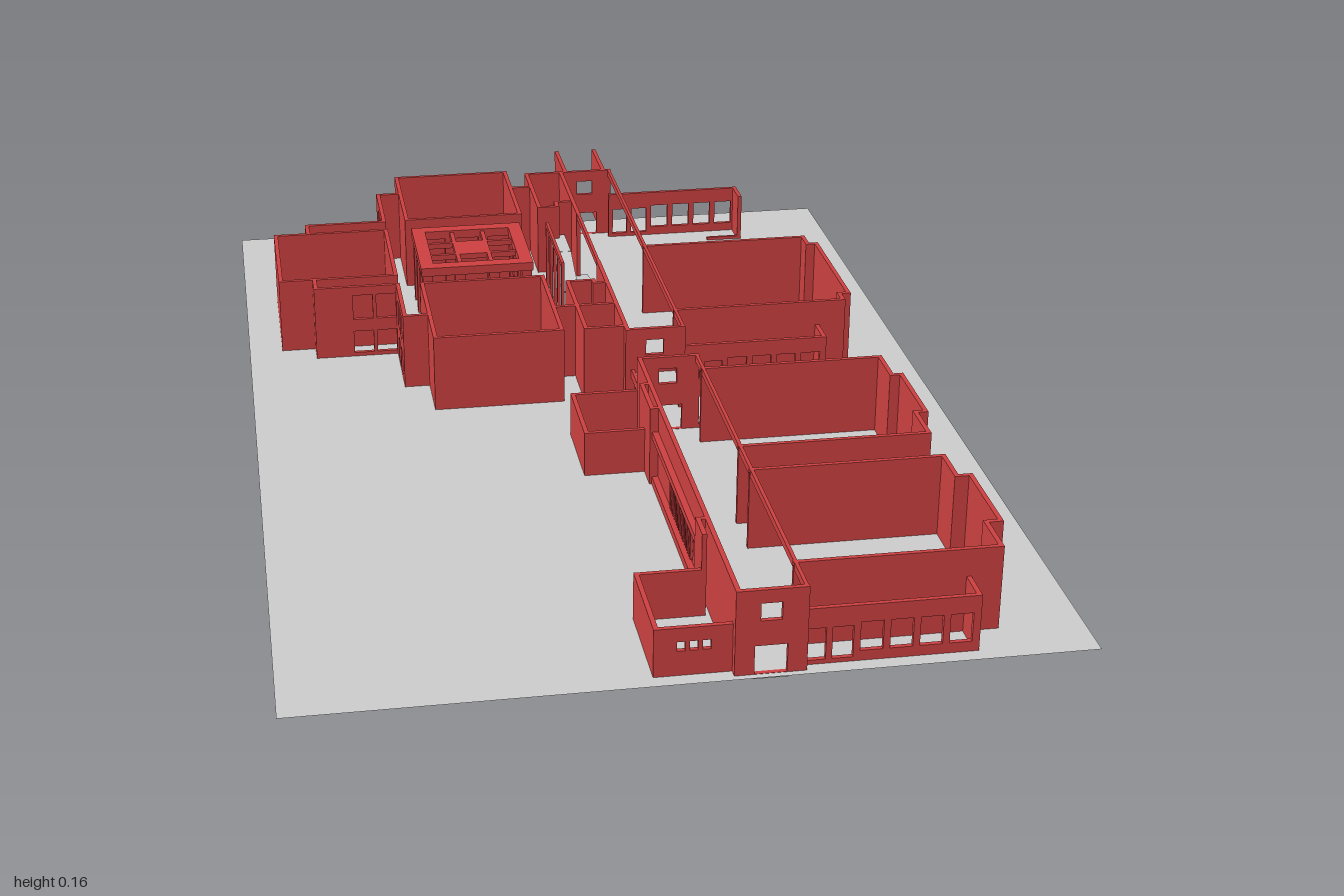
import * as THREE from 'three';

const RED = new THREE.MeshStandardMaterial({ color: 0xcc4040, side: THREE.DoubleSide });
const GREY = new THREE.MeshStandardMaterial({ color: 0xcccccc, side: THREE.DoubleSide });
const BASE = 0.007, TOP = 0.153, LOW = 0.105, BOX = 0.09, T = 0.008;

export function createModel() {
  const model = new THREE.Group();

  // box given by its two extreme corners
  function block(name, x1, x2, y1, y2, z1, z2, material = RED) {
    const mesh = new THREE.Mesh(new THREE.BoxGeometry(x2 - x1, y2 - y1, z2 - z1), material);
    mesh.position.set((x1 + x2) / 2, (y1 + y2) / 2, (z1 + z2) / 2);
    mesh.name = name;
    model.add(mesh);
    return mesh;
  }

  // upright wall between two plan points; holes are [u1, u2, y1, y2], u measured from the first point
  function wall(name, [x1, z1], [x2, z2], top = TOP, holes = []) {
    const len = Math.hypot(x2 - x1, z2 - z1), e = T / 2;
    const shape = new THREE.Shape([[-e, BASE], [len + e, BASE], [len + e, top], [-e, top]]
      .map(([u, y]) => new THREE.Vector2(u, y)));
    for (const [a, b, c, d] of holes) {
      shape.holes.push(new THREE.Path([[a, c], [a, d], [b, d], [b, c]]
        .map(([u, y]) => new THREE.Vector2(u, y))));
    }
    const geo = new THREE.ExtrudeGeometry(shape, { depth: T, bevelEnabled: false });
    geo.translate(0, 0, -e);
    const mesh = new THREE.Mesh(geo, RED);
    mesh.position.set(x1, 0, z1);
    mesh.rotation.y = -Math.atan2(z2 - z1, x2 - x1);
    mesh.name = name;
    model.add(mesh);
  }

  // chain of solid walls
  function path(name, points, top = TOP) {
    for (let i = 1; i < points.length; i++) wall(name, points[i - 1], points[i], top);
  }

  // ground and door sill
  const ground = new THREE.Mesh(new THREE.PlaneGeometry(1.265, 1.94), GREY);
  ground.rotation.x = -Math.PI / 2;
  ground.position.set(0, BASE + 0.0005, 0.03);
  ground.name = 'ground';
  model.add(ground);
  block('doorSill', 0.085, 0.14, 0, 0.004, 0.98, 0.99, GREY);

  // corridor: end walls with doorway and window, solid west side, open east side under a beam
  for (const z of [-0.865, -0.002, 0.13, 0.985]) {
    wall('corridorEndWall', [0.06, z], [0.165, z], TOP,
      [[0.027, 0.078, BASE + 0.001, 0.057], [0.035, 0.068, 0.1, 0.13]]);
  }
  path('corridorWall', [[0.06, -0.865], [0.06, -0.61]]);
  path('corridorWall', [[0.06, -0.34], [0.06, 0]]);
  block('corridorBeam', 0.162, 0.168, 0.14, TOP, -0.865, 0);
  block('corridorBeam', 0.162, 0.168, 0.14, TOP, 0.13, 0.985);
  block('corridorBeam', 0.057, 0.063, 0.14, TOP, -0.61, -0.34);
  for (const x of [0.07, 0.153]) wall('northScreen', [x, -0.996], [x, -0.865]);

  // long west wall with louvred opening and projecting band
  wall('longWall', [0.06, 0.13], [0.06, 0.985], TOP, [[0.33, 0.53, 0.025, 0.09]]);
  block('windowHood', 0.045, 0.06, 0.095, 0.108, 0.34, 0.75);
  block('windowLedge', 0.045, 0.06, BASE, 0.022, 0.34, 0.75);
  for (let i = 1; i < 20; i++) {
    block('louvre', 0.053, 0.064, 0.025, 0.09, 0.459 + i * 0.01, 0.462 + i * 0.01);
  }
  for (let i = 1; i < 4; i++) block('louvreRail', 0.057, 0.063, 0.024 + i * 0.016, 0.027 + i * 0.016, 0.46, 0.66);
  path('cornerPier', [[0.06, 0.24], [0.045, 0.24], [0.045, 0.34], [0.06, 0.34]]);
  path('cornerPier', [[0.06, 0.75], [0.045, 0.75], [0.045, 0.8]]);

  // low service boxes on the west side
  path('serviceBox', [[0.06, 0.13], [-0.062, 0.13], [-0.062, 0.29], [0.045, 0.29]], BOX);
  path('serviceBox', [[0.045, 0.8], [-0.062, 0.8], [-0.062, 0.97]], BOX);
  wall('serviceBoxFront', [-0.062, 0.97], [0.06, 0.97], BOX,
    [0.032, 0.052, 0.072].map((u) => [u, u + 0.013, 0.05, 0.066]));

  // east classrooms: stepped bay on the outside, open to the corridor
  for (const [z1, b1, b2, z2, x] of [
    [-0.41, -0.37, -0.11, -0.08, 0.508], [0.19, 0.27, 0.425, 0.507, 0.508], [0.595, 0.67, 0.83, 0.91, 0.514]]) {
    path('classroomWall', [[0.165, z1], [0.49, z1], [0.49, b1], [x, b1], [x, b2], [0.49, b2], [0.49, z2], [0.165, z2]]);
  }

  // low porches with a row of windows
  const openings = [[0.005, 0.036, 0.015, 0.07], [0.046, 0.079, 0.015, 0.07]];
  for (let i = 0; i < 4; i++) openings.push([0.09 + i * 0.047, 0.126 + i * 0.047, 0.025, 0.075]);
  for (const [z, inner] of [[-0.84, -0.785], [-0.02, -0.08], [0.13, 0.19], [0.97, 0.91]]) {
    wall('porchWall', [0.165, z], [0.44, z], LOW, openings);
    wall('porchEnd', [0.44, z], [0.44, inner], LOW);
  }
  wall('porchLink', [0.44, 0.507], [0.44, 0.595], LOW);
  wall('porchEnd', [0.44, -0.47], [0.44, -0.41], 0.03);
  for (const z of [-0.785, -0.47]) block('curb', 0.37, 0.44, BASE, 0.014, z - 0.003, z + 0.003);

  // west rooms around the courtyard
  path('northRoom', [[-0.295, -0.885], [-0.06, -0.885], [-0.06, -0.63], [-0.295, -0.63], [-0.295, -0.885]]);
  path('southRoom', [[-0.295, -0.285], [-0.06, -0.285], [-0.06, -0.02], [-0.295, -0.02], [-0.295, -0.285]]);
  path('westRoom', [[-0.565, -0.58], [-0.342, -0.58], [-0.342, -0.335], [-0.565, -0.335], [-0.565, -0.58]]);

  // windowed links between the rooms, mirrored north and south
  const panes = (start) => [0, 1].flatMap((i) => {
    const u = start + i * 0.045;
    return [[u, u + 0.038, 0.015, 0.06], [u, u + 0.038, 0.085, 0.135]];
  });
  for (const s of [-1, 1]) {
    const z = (d) => -0.458 + s * d;
    path('roomLink', [[-0.295, z(0.328)], [-0.342, z(0.328)]]);
    wall('windowWall', [-0.342, z(0.328)], [-0.342, z(0.17)], TOP, panes(0.035));
    wall('windowWall', [-0.5, z(0.17)], [-0.342, z(0.17)], TOP, panes(0.07));
    path('roomLink', [[-0.5, z(0.17)], [-0.5, z(0.123)]]);
    path('roomLink', [[-0.06, z(0.328)], [-0.015, z(0.328)]]);
  }
  path('northCloset', [[0.06, -0.865], [-0.015, -0.865], [-0.015, -0.66], [0.023, -0.66], [0.023, -0.685], [0.06, -0.685]]);
  path('southCloset', [[0.06, -0.02], [-0.015, -0.02], [-0.015, -0.25], [0.035, -0.25], [0.035, -0.235], [0.06, -0.235]]);
  path('southClosetDivider', [[-0.015, -0.13], [0.06, -0.13]]);

  // courtyard pavilion: central pier, ring of columns, frame and cross beams
  const cx = -0.18, cz = -0.457;
  block('centralPier', cx - 0.028, cx + 0.028, BASE, TOP, cz - 0.028, cz + 0.028);
  const spots = [-0.098, -0.034, 0.034, 0.098];
  spots.forEach((a, i) => spots.forEach((b, j) => {
    if (i % 3 && j % 3) return;
    block('column', cx + a - 0.01, cx + a + 0.01, BASE, 0.14, cz + b - 0.01, cz + b + 0.01);
  }));
  for (const s of [-1, 1]) {
    block('ringBeam', cx - 0.11, cx + 0.11, 0.14, 0.157, cz + s * 0.098 - 0.013, cz + s * 0.098 + 0.013);
    block('ringBeam', cx + s * 0.098 - 0.013, cx + s * 0.098 + 0.013, 0.14, 0.157, cz - 0.11, cz + 0.11);
    block('crossBeam', cx - 0.1, cx + 0.1, 0.142, TOP, cz + s * 0.031 - 0.004, cz + s * 0.031 + 0.004);
    block('crossBeam', cx + s * 0.031 - 0.004, cx + s * 0.031 + 0.004, 0.142, TOP, cz - 0.1, cz + 0.1);
  }

  // slender screen between courtyard and corridor
  block('screenBeam', -0.014, -0.008, 0.143, TOP, -0.57, -0.345);
  for (let i = 0; i < 5; i++) {
    const z = -0.567 + i * 0.0545;
    block('screenPost', -0.014, -0.008, BASE, 0.143, z - 0.003, z + 0.003);
  }

  // two-flight ramped stair with landing
  function flight(x1, x2, z1, y1, z2, y2) {
    const mesh = block('stairFlight', x1, x2, 0, 0.004, 0, Math.hypot(z2 - z1, y2 - y1), GREY);
    mesh.position.set((x1 + x2) / 2, (y1 + y2) / 2, (z1 + z2) / 2);
    mesh.rotation.x = -Math.atan2(y2 - y1, z2 - z1);
  }
  flight(0.045, 0.08, -0.62, 0.01, -0.47, 0.037);
  flight(0.005, 0.04, -0.58, 0.08, -0.47, 0.037);
  block('stairLanding', 0.005, 0.04, 0.078, 0.082, -0.675, -0.58, GREY);

  // bridge between the two blocks
  block('bridgeDeck', 0.073, 0.15, 0.058, 0.064, 0, 0.13, GREY);
  for (const x of [0.07, 0.153]) {
    block('bridgeBeam', x - 0.003, x + 0.003, 0.055, 0.072, 0, 0.13);
    for (const z of [0.04, 0.09]) block('bridgePost', x - 0.003, x + 0.003, BASE, 0.055, z - 0.003, z + 0.003);
  }
  return model;
}
